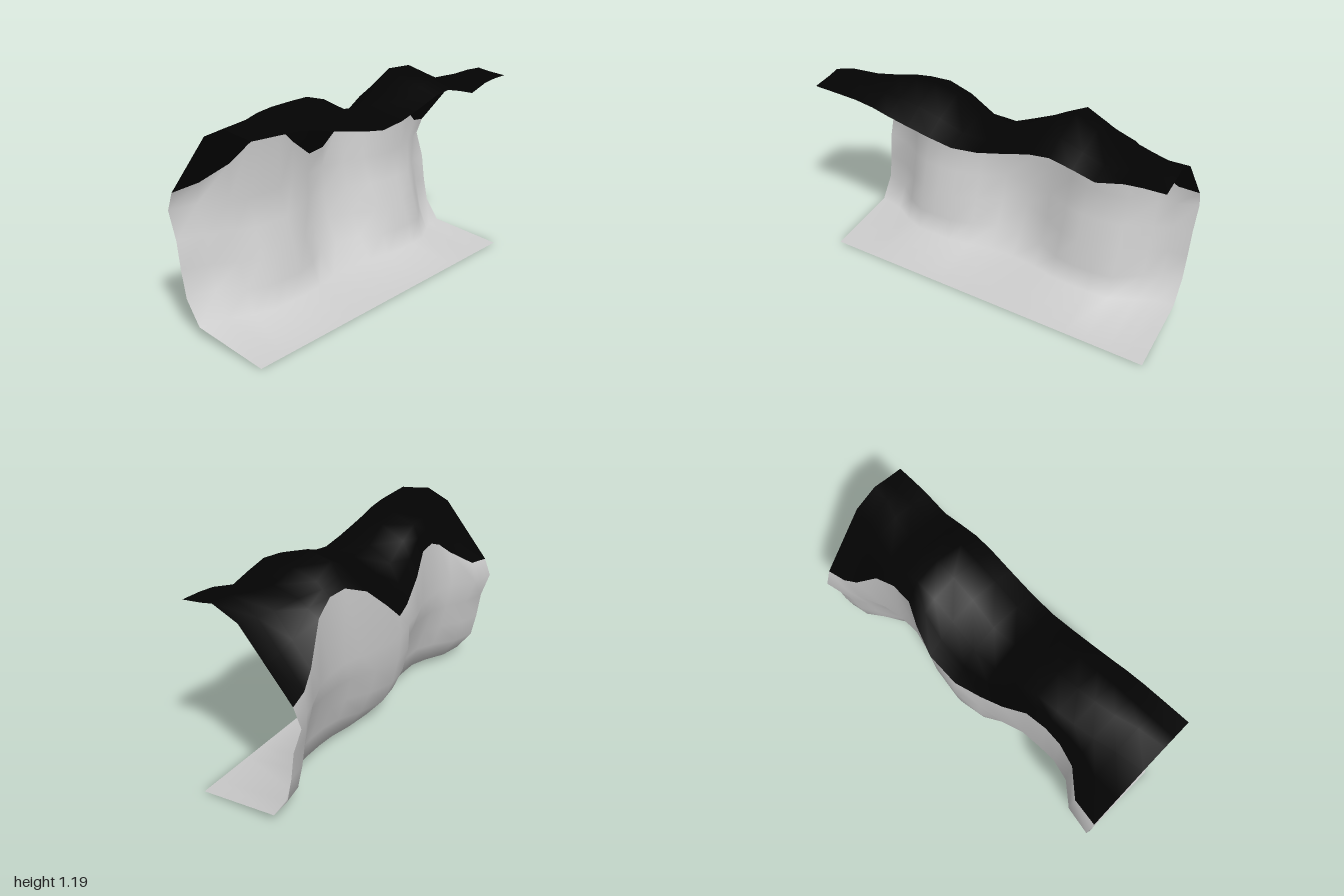
import * as THREE from 'three';

// Stations along the cliff:
// z, lip height, lip x, wall x, shoulder x, shoulder height, crown height, front edge height
const STATIONS = [
  [-1, 0.72, -0.28, -0.32, 0, 1.05, 1.11, 1.085],
  [-0.89, 0.735, -0.26, -0.27, -0.01, 1.04, 1.11, 1.08],
  [-0.8, 0.8, -0.235, -0.24, -0.04, 1.04, 1.095, 1.07],
  [-0.66, 0.98, -0.185, -0.185, -0.07, 1.05, 1.085, 1.03],
  [-0.54, 1.035, -0.165, -0.165, -0.09, 1.1, 1.135, 1.06],
  [-0.42, 1.035, -0.17, -0.165, -0.095, 1.155, 1.19, 1.085],
  [-0.31, 0.99, -0.225, -0.195, -0.09, 1.1, 1.15, 1.07],
  [-0.18, 0.87, -0.265, -0.24, -0.09, 1.02, 1.09, 1.03],
  [-0.02, 0.74, -0.25, -0.26, -0.1, 0.95, 1.015, 0.985],
  [0.13, 0.74, -0.21, -0.225, -0.1, 0.955, 1.03, 0.965],
  [0.27, 0.84, -0.19, -0.205, -0.1, 1.04, 1.105, 0.985],
  [0.4, 0.945, -0.155, -0.165, -0.09, 1.09, 1.14, 1.01],
  [0.52, 0.95, -0.145, -0.16, -0.08, 1.09, 1.14, 1.035],
  [0.62, 0.91, -0.145, -0.16, -0.07, 1.08, 1.135, 1.06],
  [0.73, 0.83, -0.165, -0.185, -0.05, 1.06, 1.12, 1.075],
  [0.85, 0.74, -0.26, -0.29, -0.02, 1.05, 1.12, 1.08],
  [1, 0.72, -0.28, -0.32, 0, 1.05, 1.11, 1.085],
];

// Lower wall: height, x at the ends, x in the middle gully, x on a bulge
const LOWER_WALL = [
  [0.05, -0.13, -0.045, 0.01],
  [0.175, -0.22, -0.15, -0.02],
  [0.32, -0.25, -0.215, -0.07],
  [0.47, -0.27, -0.245, -0.115],
];

// Ground strip and wall, from the front edge up to the lip; the wall bulges at z = 0.5 and -0.5
function wallSection([z, lipY, lipX, wallX]) {
  const bulge = 1 - THREE.MathUtils.smoothstep(Math.abs(Math.abs(z) - 0.5), 0.1, 0.46);
  const lower = LOWER_WALL.map(([y, end, gully, out]) => {
    const recess = Math.abs(z) < 0.5 ? gully : end;
    return [Math.max(wallX, THREE.MathUtils.lerp(recess, out, bulge)), y];
  });
  return [[0.32, 0], ...lower, [wallX, 0.62], [lipX, lipY]];
}

// Overhang, from the lip over the crown to the straight front edge
function overhangSection([, lipY, lipX, , shoulderX, shoulderY, crownY, edgeY]) {
  return [
    [lipX, lipY],
    [(lipX + shoulderX) / 2, (lipY + shoulderY) / 2],
    [shoulderX, shoulderY],
    [shoulderX + 0.14, crownY],
    [0.21, THREE.MathUtils.lerp(edgeY, crownY, 0.5)],
    [0.32, edgeY],
  ];
}

// Smooth sheet through one cross-section per station
function sheet(name, section, color) {
  const positions = [], index = [];
  const sections = STATIONS.map(section);
  const n = sections[0].length;
  sections.forEach((points, i) => {
    points.forEach(([x, y]) => positions.push(x, y, STATIONS[i][0]));
    if (i === 0) return;
    for (let j = 0; j < n - 1; j++) {
      const a = (i - 1) * n + j, b = a + n;
      index.push(a, a + 1, b, b, a + 1, b + 1);
    }
  });
  const geometry = new THREE.BufferGeometry();
  geometry.setAttribute('position', new THREE.Float32BufferAttribute(positions, 3));
  geometry.setIndex(index);
  geometry.computeVertexNormals();
  const mesh = new THREE.Mesh(geometry, new THREE.MeshStandardMaterial({ color, side: THREE.DoubleSide }));
  mesh.name = name;
  return mesh;
}

export function createModel() {
  const group = new THREE.Group();
  group.name = 'cliff';
  group.add(sheet('wallAndGround', wallSection, 0xcccccc));
  group.add(sheet('overhang', overhangSection, 0x030303));
  return group;
}
